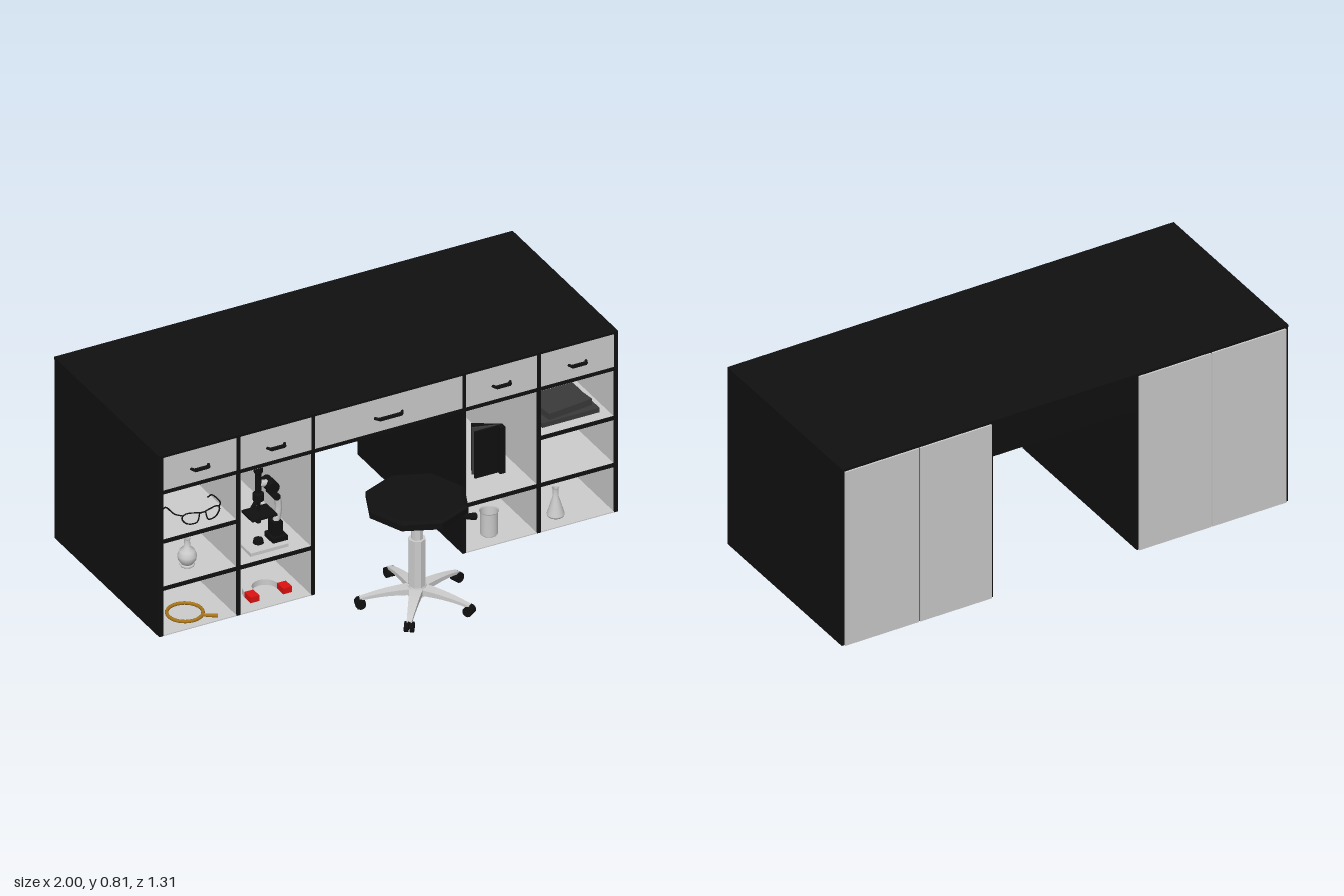
import * as THREE from 'three';

const mat = (color) => new THREE.MeshStandardMaterial({ color, side: THREE.DoubleSide });
const flat = (color) => { const m = mat(color); m.flatShading = true; return m; };
const grey = mat(0xcccccc), greyFlat = flat(0xcccccc), black = flat(0x101010);
const red = flat(0xdd1111), amber = mat(0xa8741a), dark = flat(0x3a3a3a);
const V = (x, y, z) => new THREE.Vector3(x, y, z);

function add(parent, name, geo, material, x = 0, y = 0, z = 0) {
  const mesh = new THREE.Mesh(geo, material);
  mesh.name = name;
  mesh.position.set(x, y, z);
  parent.add(mesh);
  return mesh;
}
function group(parent, name, x = 0, y = 0, z = 0) {
  const g = new THREE.Group();
  g.name = name;
  g.position.set(x, y, z);
  parent.add(g);
  return g;
}
// Box given by its extents
function block(parent, name, x0, x1, y0, y1, z0, z1, material) {
  return add(parent, name, new THREE.BoxGeometry(x1 - x0, y1 - y0, z1 - z0), material,
    (x0 + x1) / 2, (y0 + y1) / 2, (z0 + z1) / 2);
}
// Straight round bar between two points
function rod(parent, name, a, b, r0, r1, material, sides = 8) {
  const d = b.clone().sub(a);
  const m = add(parent, name, new THREE.CylinderGeometry(r1, r0, d.length(), sides), material);
  m.position.copy(a).addScaledVector(d, 0.5);
  m.quaternion.setFromUnitVectors(V(0, 1, 0), d.normalize());
  return m;
}
const lathe = (pts, n = 20) => new THREE.LatheGeometry(pts.map(p => new THREE.Vector2(p[0], p[1])), n);
const tube = (pts, r, n = 16) => new THREE.TubeGeometry(new THREE.CatmullRomCurve3(pts.map(p => V(...p))), n, r, 6);

const BACK = -0.65, FRONT = 0.2, TOP = 0.805, T = 0.008;

// Grey lining of a compartment: a box without its front face
function lining(parent, x0, x1, y0, y1) {
  const m = block(parent, 'compartmentLining', x0, x1, y0, y1, BACK + 0.002, FRONT - 0.002, grey);
  const index = Array.from(m.geometry.index.array);
  index.splice(24, 6);
  m.geometry.setIndex(index);
  m.geometry.clearGroups();
}

function drawer(parent, x0, x1, handleWidth) {
  block(parent, 'drawerFront', x0 + T, x1 - T, 0.648, 0.797, 0.17, FRONT - 0.002, grey);
  const c = (x0 + x1) / 2, h = handleWidth / 2;
  block(parent, 'drawerHandle', c - h * 0.8, c + h * 0.8, 0.705, 0.717, 0.21, 0.22, black);
  for (const s of [-1, 1])
    rod(parent, 'handlePost', V(c + s * h, 0.711, 0.197), V(c + s * h * 0.8, 0.711, 0.216), 0.006, 0.006, black);
}

function buildDesk(root) {
  const desk = group(root, 'desk');
  block(desk, 'deskTop', -1, 1, 0.795, TOP, BACK - 0.005, FRONT, black);
  for (const s of [-1, 1]) {
    for (const [a, b] of [[0.982, 1], [0.646, 0.663], [0.322, 0.337]])
      block(desk, 'uprightPanel', Math.min(s * a, s * b), Math.max(s * a, s * b), 0, 0.8, BACK, FRONT, black);
    // columns of each pedestal: inner edge, outer edge, shelf heights
    for (const [a, b, levels] of [[0.337, 0.646, [0, 0.21, 0.64]], [0.663, 0.982, [0, 0.21, 0.42, 0.64]]]) {
      const x0 = Math.min(s * a, s * b), x1 = Math.max(s * a, s * b);
      levels.forEach((y, i) => {
        if (i > 0) block(desk, 'shelf', x0, x1, y - T, y + T, BACK, FRONT, black);
        if (i < levels.length - 1)
          lining(desk, x0 + 0.002, x1 - 0.002, i ? y + T + 0.002 : 0.005, levels[i + 1] - T - 0.002);
      });
      block(desk, 'bottomPanel', x0, x1, 0, 0.004, BACK, FRONT, grey);
      block(desk, 'backPanel', x0 - 0.006, x1 + 0.006, 0, 0.79, BACK - 0.007, BACK, grey);
      drawer(desk, x0 - T, x1 + T, 0.075);
    }
  }
  block(desk, 'centreDrawerBox', -0.322, 0.322, 0.632, 0.648, BACK + 0.02, FRONT, black);
  block(desk, 'centreDrawerBack', -0.322, 0.322, 0.632, 0.795, BACK + 0.01, BACK + 0.02, black);
  drawer(desk, -0.33, 0.33, 0.12);
}

function buildStool(root) {
  const stool = group(root, 'stool', -0.01, 0, 0.447);
  add(stool, 'seat', lathe([[0, 0.434], [0.19, 0.434], [0.206, 0.44], [0.206, 0.466], [0.19, 0.474], [0, 0.475]], 8), black);
  add(stool, 'upperColumn', new THREE.CylinderGeometry(0.024, 0.024, 0.15, 8), greyFlat, 0, 0.362, 0);
  add(stool, 'lowerColumn', new THREE.CylinderGeometry(0.034, 0.034, 0.215, 8), greyFlat, 0, 0.187, 0);
  add(stool, 'hub', new THREE.CylinderGeometry(0.036, 0.046, 0.035, 10), greyFlat, 0, 0.07, 0);
  // five arched, tapering legs with twin-wheel casters
  const side = new THREE.Shape();
  side.moveTo(0, 0.083);
  side.quadraticCurveTo(0.12, 0.082, 0.225, 0.053);
  side.lineTo(0.225, 0.042);
  side.quadraticCurveTo(0.12, 0.066, 0, 0.054);
  const legGeo = new THREE.ExtrudeGeometry(side, { depth: 1, bevelEnabled: false, curveSegments: 6 });
  const p = legGeo.attributes.position;
  for (let i = 0; i < p.count; i++) p.setZ(i, (p.getZ(i) - 0.5) * (0.056 - 0.16 * p.getX(i)));
  legGeo.computeVertexNormals();
  for (let i = 0; i < 5; i++) {
    const leg = group(stool, 'footLeg');
    leg.rotation.y = Math.PI / 2 + i * Math.PI * 0.4;
    add(leg, 'legArm', legGeo, greyFlat);
    add(leg, 'casterStem', new THREE.CylinderGeometry(0.008, 0.008, 0.03, 6), black, 0.22, 0.037, 0);
    for (const s of [-1, 1])
      add(leg, 'casterWheel', new THREE.CylinderGeometry(0.021, 0.021, 0.016, 10), black, 0.222, 0.028, s * 0.011)
        .rotation.x = Math.PI / 2;
  }
  // height lever
  rod(stool, 'leverPivot', V(-0.036, 0.37, 0), V(0.02, 0.37, 0), 0.012, 0.012, black);
  rod(stool, 'leverRod', V(0.015, 0.368, 0), V(0.21, 0.325, -0.012), 0.005, 0.005, black);
  rod(stool, 'leverGrip', V(0.2, 0.328, -0.011), V(0.262, 0.308, -0.017), 0.009, 0.016, black);
}

function buildMicroscope(root) {
  const m = group(root, 'microscope', -0.515, 0.22, 0.1);
  block(m, 'basePlate', -0.065, 0.1, 0, 0.014, -0.06, 0.06, greyFlat);
  block(m, 'baseFoot', 0.045, 0.11, 0.014, 0.035, -0.035, 0.035, black);
  block(m, 'pillar', 0.055, 0.095, 0.03, 0.095, -0.022, 0.022, black);
  add(m, 'arm', tube([[0.075, 0.08, 0], [0.088, 0.15, 0], [0.075, 0.22, 0], [0.05, 0.265, 0], [0.005, 0.275, 0]], 0.014), grey);
  block(m, 'stage', -0.05, 0.06, 0.14, 0.149, -0.045, 0.045, black);
  add(m, 'condenser', new THREE.CylinderGeometry(0.014, 0.01, 0.03, 10), black, 0, 0.12, 0);
  add(m, 'lamp', new THREE.CylinderGeometry(0.018, 0.022, 0.02, 12), black, 0, 0.022, 0);
  add(m, 'viewingTube', lathe([[0.006, 0.16], [0.01, 0.2], [0.022, 0.205], [0.022, 0.235], [0.013, 0.24], [0.013, 0.325],
    [0.018, 0.33], [0.018, 0.36], [0, 0.362]], 12), black);
  rod(m, 'objective', V(0, 0.21, 0), V(-0.03, 0.172, 0), 0.01, 0.007, black);
  for (const [x, y, r] of [[0.05, 0.26, 0.025], [0.065, 0.215, 0.014]])
    add(m, 'focusKnob', new THREE.CylinderGeometry(r, r, 0.07, 12), black, x, y, 0).rotation.x = Math.PI / 2;
}

function buildGlassware(root) {
  add(root, 'roundFlask', lathe([[0, 0], [0.022, 0.003], [0.036, 0.025], [0.038, 0.042], [0.03, 0.064], [0.013, 0.08],
    [0.011, 0.112], [0.015, 0.116]]), grey, -0.825, 0.225, 0.1);
  add(root, 'flaskStand', new THREE.TorusGeometry(0.024, 0.006, 6, 20), grey, -0.825, 0.226, 0.1).rotation.x = Math.PI / 2;
  add(root, 'beaker', lathe([[0, 0], [0.033, 0], [0.035, 0.004], [0.035, 0.098], [0.039, 0.104]]), grey, 0.48, 0.006, 0.12);
  add(root, 'conicalFlask', lathe([[0, 0], [0.033, 0], [0.035, 0.008], [0.012, 0.085], [0.011, 0.12], [0.015, 0.125]]),
    grey, 0.77, 0.006, 0.12);
}

function buildSmallItems(root) {
  // safety glasses
  const g = group(root, 'safetyGlasses', -0.79, 0.435, 0.15);
  for (const s of [-1, 1]) {
    add(g, 'lensRim', tube([[s * 0.012, 0.045, 0.01], [s * 0.07, 0.048, 0], [s * 0.082, 0.03, -0.005], [s * 0.065, 0.005, 0],
      [s * 0.025, 0.005, 0.01], [s * 0.012, 0.045, 0.01]], 0.003, 24), black);
    add(g, 'temple', tube([[s * 0.08, 0.042, -0.003], [s * 0.098, 0.04, -0.03], [s * 0.1, 0.035, -0.1], [s * 0.098, 0.01, -0.13]], 0.003), black);
  }
  rod(g, 'noseBridge', V(-0.013, 0.043, 0.01), V(0.013, 0.043, 0.01), 0.003, 0.003, black);

  // hand magnifier lying flat
  const mag = group(root, 'magnifier', -0.835, 0.013, 0.1);
  add(mag, 'magnifierRing', new THREE.TorusGeometry(0.07, 0.007, 8, 28), amber).rotation.x = Math.PI / 2;
  rod(mag, 'magnifierHandle', V(0.05, 0, 0.05), V(0.1, 0, 0.082), 0.006, 0.009, amber);

  // horseshoe magnet lying flat
  const magnet = group(root, 'horseshoeMagnet', -0.485, 0.006, 0.1);
  const arc = new THREE.Shape();
  arc.absarc(0, 0, 0.09, 0, Math.PI, false);
  arc.absarc(0, 0, 0.052, Math.PI, 0, true);
  add(magnet, 'magnetBow', new THREE.ExtrudeGeometry(arc, { depth: 0.025, bevelEnabled: false, curveSegments: 14 }), grey)
    .rotation.x = -Math.PI / 2;
  for (const s of [-1, 1])
    block(magnet, 'magnetTip', s * 0.071 - 0.019, s * 0.071 + 0.019, 0, 0.025, 0, 0.05, red);

  // standing folder, slightly open
  const folder = group(root, 'folder', 0.575, 0.222, 0.05);
  for (const [a, c] of [[0, black], [-0.28, dark], [-0.55, black]]) {
    const leaf = group(folder, 'folderLeaf');
    leaf.rotation.y = a;
    block(leaf, 'folderCover', -0.12, 0, 0, 0.207, -0.004, 0.004, c);
  }
  block(folder, 'folderSpine', -0.02, 0.003, 0, 0.207, -0.006, 0.02, black);

  // stacked books
  const books = group(root, 'bookStack', 0.82, 0.431, 0.04);
  block(books, 'lowerBook', -0.125, 0.125, 0, 0.02, -0.11, 0.11, dark);
  block(books, 'upperBook', -0.1, 0.1, 0.02, 0.048, -0.09, 0.09, dark).rotation.y = 0.12;
}

export function createModel() {
  const root = new THREE.Group();
  root.name = 'laboratoryDesk';
  buildDesk(root);
  buildStool(root);
  buildMicroscope(root);
  buildGlassware(root);
  buildSmallItems(root);
  return root;
}
